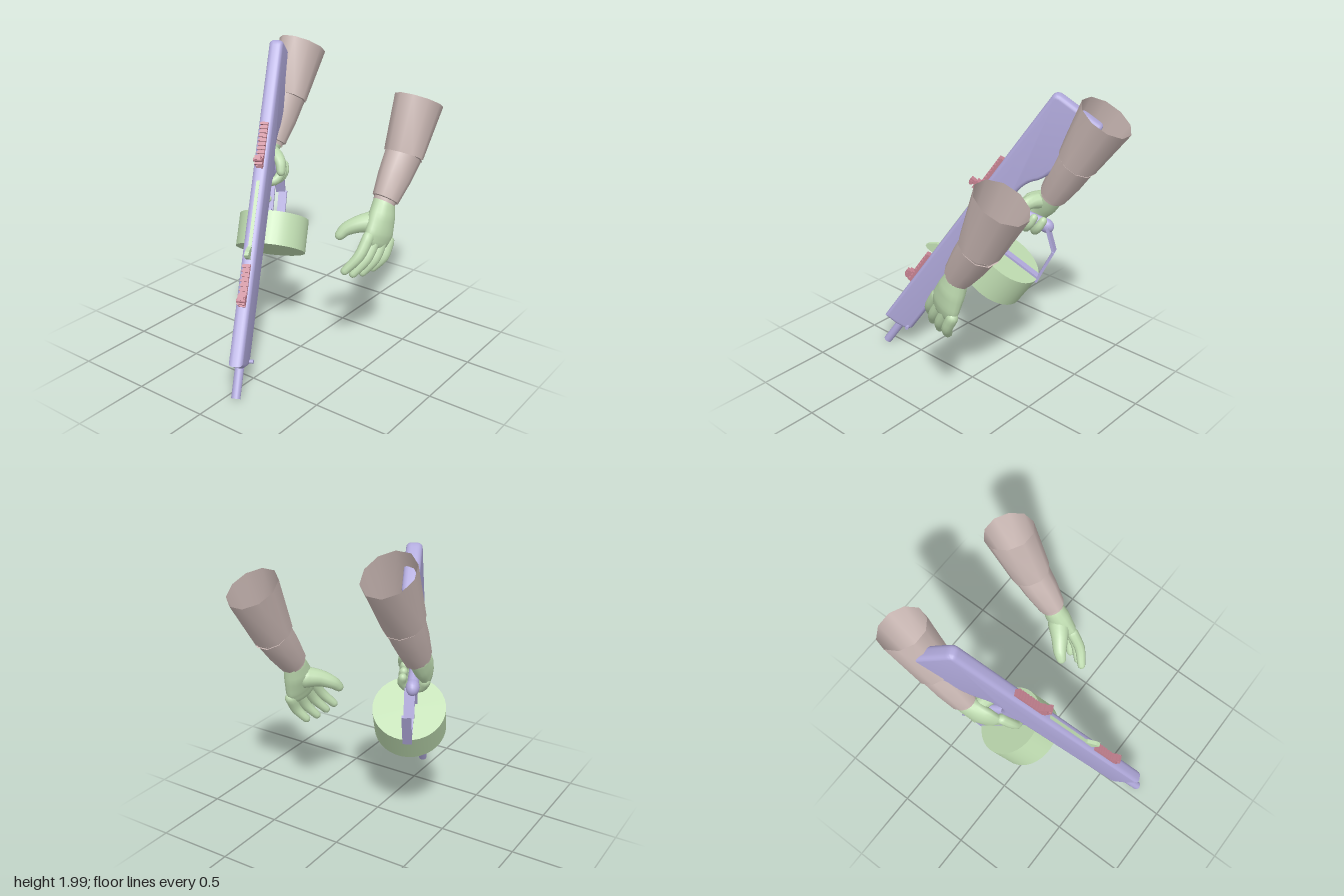
import * as THREE from 'three';
import { toCreasedNormals } from 'three/addons/utils/BufferGeometryUtils.js';

const paint = (name, color) => {
  const m = new THREE.MeshStandardMaterial({ color, side: THREE.DoubleSide });
  m.name = name;
  return m;
};
const V = (a) => new THREE.Vector3(a[0], a[1], a[2]);

// Surface through elliptical sections [x, y, z, radius along side, other radius]
function loft(sections, side, n = 12, steps = 4, caps = true) {
  const curve = new THREE.CatmullRomCurve3(sections.map(V));
  const last = sections.length - 1, rings = [];
  for (let i = 0; i <= last * steps; i++) {
    const u = i / (last * steps), k = Math.min(Math.floor(i / steps), last - 1), f = i / steps - k;
    const [a, b] = [sections[k], sections[k + 1]];
    rings.push({
      c: curve.getPoint(u), t: curve.getTangent(u),
      ra: a[3] + (b[3] - a[3]) * f,
      rb: (a[4] ?? a[3]) + ((b[4] ?? b[3]) - (a[4] ?? a[3])) * f,
    });
  }
  if (caps) {
    const end = (r, sign) => [[0.5, 0.86], [0.86, 0.5], [1, 0.02]].map(([d, s]) => ({
      c: r.c.clone().addScaledVector(r.t, sign * d * Math.min(r.ra, r.rb)), t: r.t, ra: r.ra * s, rb: r.rb * s,
    }));
    const start = end(rings[0], -1).reverse(), finish = end(rings[rings.length - 1], 1);
    rings.unshift(...start);
    rings.push(...finish);
  }
  const pos = [], index = [];
  rings.forEach(({ c, t, ra, rb }, i) => {
    const S = V(side).addScaledVector(t, -V(side).dot(t)).normalize();
    const B = t.clone().cross(S);
    for (let j = 0; j < n; j++) {
      const w = (j / n) * Math.PI * 2;
      const p = c.clone().addScaledVector(S, Math.cos(w) * ra).addScaledVector(B, Math.sin(w) * rb);
      pos.push(p.x, p.y, p.z);
      if (i < rings.length - 1) {
        const a = i * n + j, b = i * n + (j + 1) % n;
        index.push(a, b, a + n, b, b + n, a + n);
      }
    }
  });
  const g = new THREE.BufferGeometry();
  g.setAttribute('position', new THREE.Float32BufferAttribute(pos, 3));
  g.setIndex(index);
  g.computeVertexNormals();
  return g;
}

export function createModel() {
  const metal = paint('lavender', 0xb1aadc);
  const green = paint('soft green', 0xbfdcb1);
  const cloth = paint('dusty taupe', 0xc9b7b3);
  const rose = paint('rose', 0xc58291);

  const model = new THREE.Group();
  const add = (parent, name, geo, mat, x = 0, y = 0, z = 0) => {
    const m = new THREE.Mesh(geo, mat);
    m.name = name;
    m.position.set(x, y, z);
    parent.add(m);
    return m;
  };

  // Weapon frame: x runs from muzzle to butt, y up, z to the side
  const gun = new THREE.Group();
  gun.name = 'weapon';
  gun.rotation.set(0, 0.443, 0.983, 'YXZ');
  gun.position.set(0, 0, -0.284);
  model.add(gun);

  // Receiver and stock in one rounded slab
  const s = new THREE.Shape();
  s.moveTo(-0.264, 0.842);
  s.lineTo(-0.266, 0.742);
  s.lineTo(-0.244, 0.652);
  s.lineTo(-0.212, 0.632);
  s.lineTo(0.94, 0.628);
  s.quadraticCurveTo(1.0, 0.59, 1.06, 0.585);
  s.quadraticCurveTo(1.1, 0.65, 1.17, 0.648);
  s.quadraticCurveTo(1.26, 0.64, 1.31, 0.595);
  s.quadraticCurveTo(1.37, 0.555, 1.5, 0.537);
  s.lineTo(1.83, 0.482);
  s.quadraticCurveTo(1.858, 0.48, 1.858, 0.51);
  s.lineTo(1.855, 0.79);
  s.quadraticCurveTo(1.852, 0.842, 1.81, 0.842);
  s.closePath();
  const slab = new THREE.ExtrudeGeometry(s, {
    depth: 0.03, bevelThickness: 0.03, bevelSize: 0.026, bevelOffset: -0.026, bevelSegments: 4, curveSegments: 8,
  });
  add(gun, 'body', toCreasedNormals(slab, 0.6), metal, 0, 0, -0.015);

  // Hollow barrel
  const barrel = new THREE.LatheGeometry(
    [[0.018, 0.1], [0.018, 0], [0.029, 0], [0.029, 0.3]].map((p) => new THREE.Vector2(...p)), 16);
  add(gun, 'barrel', toCreasedNormals(barrel, 0.6), metal, -0.45, 0.717, 0).rotation.z = -Math.PI / 2;
  add(gun, 'muzzlePin', new THREE.CylinderGeometry(0.013, 0.013, 0.1, 10), metal, -0.215, 0.662, 0.02)
    .rotation.x = Math.PI / 2;

  // Top rails with teeth and a flip-up sight each
  for (const [name, start, length, height] of [['frontRail', 0.1, 0.265, 0.075], ['rearRail', 0.98, 0.3, 0.1]]) {
    const rail = new THREE.Group();
    rail.name = name;
    rail.position.set(start, 0.84, 0);
    gun.add(rail);
    add(rail, 'railBase', new THREE.BoxGeometry(length, 0.024, 0.042), rose, length / 2, 0.008, 0);
    const teeth = Math.round(length / 0.028);
    for (let i = 0; i < teeth; i++) {
      add(rail, 'railTooth', new THREE.BoxGeometry(0.015, 0.014, 0.052), rose, (i + 0.5) * length / teeth, 0.026, 0);
    }
    add(rail, 'sightBase', new THREE.BoxGeometry(0.06, 0.028, 0.05), rose, 0.04, 0.043, 0);
    add(rail, 'sightPost', new THREE.BoxGeometry(0.026, height - 0.045, 0.038), rose, 0.045, height / 2 + 0.02, 0);
    add(rail, 'sightKnob', new THREE.CylinderGeometry(0.013, 0.013, 0.056, 10), rose, 0.033, height - 0.02, 0)
      .rotation.x = Math.PI / 2;
  }

  // Charging tab and its slide strip
  const tab = new THREE.Shape([[0.395, 0.83], [0.398, 0.89], [0.41, 0.91], [0.435, 0.9], [0.475, 0.855], [0.475, 0.83]]
    .map((p) => new THREE.Vector2(...p)));
  add(gun, 'chargingTab', new THREE.ExtrudeGeometry(tab, { depth: 0.026, bevelEnabled: false }), green, 0, 0, -0.013);
  add(gun, 'slideStrip', new THREE.BoxGeometry(0.48, 0.006, 0.022), green, 0.66, 0.8405, 0);

  // Drum magazine
  const drum = new THREE.CylinderGeometry(0.231, 0.231, 0.22, 36);
  add(gun, 'drumMagazine', drum, green, 0.645, 0.42, 0.037).rotation.z = -Math.PI / 2;

  // Grip, end knob and trigger
  add(gun, 'grip', loft([[1.0, 0.63, 0, 0.035, 0.055], [1.05, 0.5, 0, 0.034, 0.045], [1.085, 0.38, 0, 0.036, 0.04]],
    [0, 0, 1]), metal);
  add(gun, 'gripKnob', new THREE.SphereGeometry(0.047, 16, 12), metal, 1.085, 0.365, 0).scale.set(1, 1.15, 0.9);
  add(gun, 'trigger', new THREE.BoxGeometry(0.022, 0.1, 0.018), green, 0.87, 0.57, 0).rotation.z = 0.25;

  // Guard straps between grip, drum and body
  const strap = (name, a, b, width, z) => {
    const dx = b[0] - a[0], dy = b[1] - a[1];
    add(gun, name, new THREE.BoxGeometry(Math.hypot(dx, dy) + 0.01, 0.018, width), metal,
      (a[0] + b[0]) / 2, (a[1] + b[1]) / 2, z).rotation.z = Math.atan2(dy, dx);
  };
  strap('guardUpper', [1.09, 0.35], [0.98, 0.22], 0.064, 0.015);
  strap('guardOuter', [0.98, 0.22], [0.735, 0.183], 0.058, 0.03);
  strap('guardBase', [0.76, 0.19], [0.76, 0.63], 0.055, 0.03);
  strap('triggerGuard', [0.76, 0.46], [1.03, 0.5], 0.045, 0.01);

  // Gripping hand: palm beside the grip, fingers wrapped round its front
  const rightHand = new THREE.Group();
  rightHand.name = 'rightHand';
  rightHand.position.set(0.035, -0.015, 0);
  gun.add(rightHand);
  add(rightHand, 'palm', loft([[1.24, 0.455, -0.03, 0.062, 0.067], [1.16, 0.475, -0.05, 0.056, 0.09],
    [1.08, 0.505, -0.07, 0.048, 0.105], [1.0, 0.52, -0.07, 0.038, 0.09]], [0, 0, 1], 14), green);
  for (let i = 0; i < 3; i++) {
    const q = 0.545 - i * 0.058, p = i * 0.022;
    add(rightHand, 'finger', loft([[1.0 + p, q, -0.07, 0.034], [0.95 + p, q - 0.005, -0.045, 0.033],
      [0.945 + p, q - 0.01, 0.03, 0.031], [1.0 + p, q - 0.012, 0.065, 0.029], [1.05 + p, q - 0.01, 0.06, 0.026]],
    [0, 1, 0], 10), green);
  }
  add(rightHand, 'indexFinger', loft([[1.0, 0.6, -0.065, 0.034], [0.91, 0.61, -0.06, 0.03],
    [0.84, 0.6, -0.04, 0.028], [0.81, 0.59, 0.015, 0.024]], [0, 1, 0], 10), green);
  add(rightHand, 'thumb', loft([[1.15, 0.51, -0.04, 0.055], [1.12, 0.56, 0.02, 0.046],
    [1.06, 0.58, 0.065, 0.037], [1.0, 0.575, 0.075, 0.029]], [0, 1, 0], 10), green);

  // Open hand, back of the hand to the front
  const leftHand = new THREE.Group();
  leftHand.name = 'leftHand';
  model.add(leftHand);
  add(leftHand, 'palm', loft([[0.285, 1.08, 0.445, 0.074, 0.066], [0.25, 0.99, 0.452, 0.1, 0.074],
    [0.21, 0.89, 0.462, 0.118, 0.06], [0.19, 0.84, 0.462, 0.11, 0.046]], [0.88, -0.41, 0.2], 16), green);
  const tips = [[-0.025, 0.69, 0.365], [0.025, 0.66, 0.395], [0.105, 0.645, 0.415], [0.195, 0.65, 0.435]];
  tips.forEach((tip, i) => {
    const base = [0.115 + i * 0.056, 0.895 - i * 0.026, 0.445 + i * 0.015];
    const mid = base.map((v, k) => v * 0.45 + tip[k] * 0.55 + (k === 2 ? 0.025 : 0));
    add(leftHand, 'finger', loft([[...base, 0.038], [...mid, 0.035], [...tip, 0.027]], [0, 0, 1], 10), green);
  });
  add(leftHand, 'thumb', loft([[0.215, 0.96, 0.42, 0.072], [0.15, 0.945, 0.345, 0.055], [0.1, 0.91, 0.282, 0.043],
    [0.07, 0.875, 0.258, 0.033]], [0, 1, 0], 12), green);

  // Sleeves: open upper tube, fold, forearm and cuff
  const sleeve = (name, top, fold, end) => {
    const arm = new THREE.Group();
    arm.name = name;
    model.add(arm);
    const at = (a, b, f) => a.map((v, k) => v + (b[k] - v) * f);
    const tube = (part, sections, n = 10) => add(arm, part, loft(sections, [0, 0, 1], n, 1, false), cloth);
    tube('upperSleeve', [[...top, 0.152, 0.181], [...fold, 0.127, 0.134]]);
    tube('foldLip', [[...fold, 0.127, 0.134], [...at(fold, end, 0.03), 0.106, 0.11]]);
    tube('forearmSleeve', [[...at(fold, end, -0.03), 0.119, 0.125], [...at(fold, end, 0.5), 0.106, 0.116],
      [...end, 0.084, 0.095]]);
    tube('cuffLip', [[...end, 0.084, 0.095], [...at(fold, end, 1.02), 0.06, 0.07]]);
    tube('wristBand', [[...at(fold, end, 0.97), 0.072, 0.08], [...at(fold, end, 1.08), 0.07, 0.076]], 14);
  };
  sleeve('leftSleeve', [0.634, 1.668, 0.463], [0.475, 1.345, 0.46], [0.295, 1.095, 0.447]);
  sleeve('rightSleeve', [0.638, 1.906, -0.468], [0.455, 1.585, -0.455], [0.285, 1.315, -0.45]);

  return model;
}
